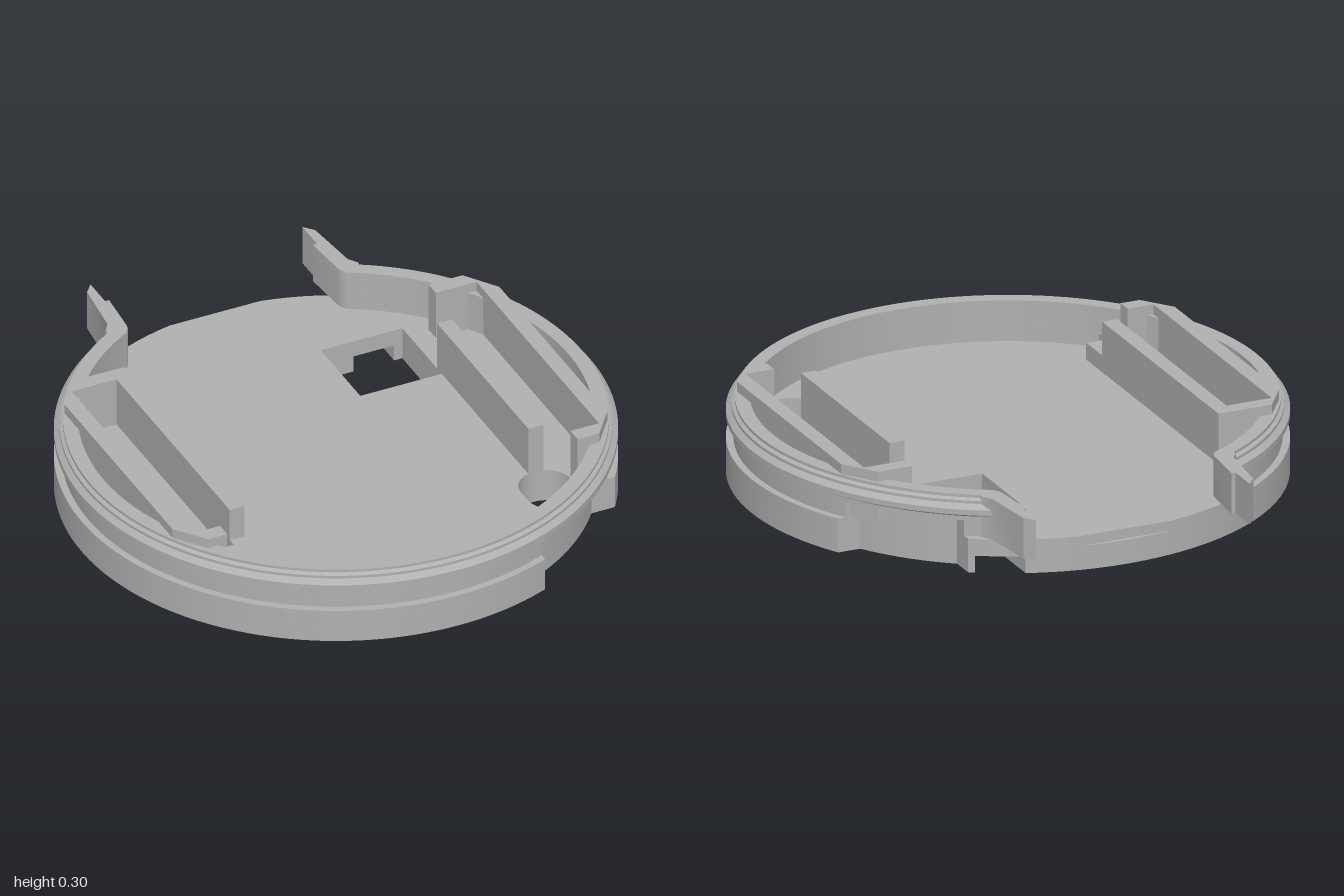
import * as THREE from 'three';
import { toCreasedNormals } from 'three/addons/utils/BufferGeometryUtils.js';

const CZ = 0.06;          // disc centre in z
const RIM = 0.935, WALL = 0.91, INNER = 0.855, NOTCH = 0.865;
const rad = THREE.MathUtils.degToRad;
const { acos, asin, PI } = Math;

// points along an arc about the disc centre, as [x, z]
function arc(r, a0, a1) {
  const n = Math.max(2, Math.ceil(Math.abs(a1 - a0) / 0.05));
  return Array.from({ length: n + 1 }, (_, i) => {
    const a = a0 + (a1 - a0) * i / n;
    return [r * Math.cos(a), CZ + r * Math.sin(a)];
  });
}

// right-hand edge with the two clip notches, from the back notch round to the front one
function notchedSide(r) {
  return [
    ...arc(NOTCH, -acos(0.51 / NOTCH), -asin(0.44 / NOTCH)),
    ...arc(r, -asin(0.44 / r), asin(0.53 / r)),
    ...arc(NOTCH, asin(0.53 / NOTCH), acos(0.35 / NOTCH)),
  ];
}

const toVectors = (pts, s = 1) => pts.map(([x, z]) => new THREE.Vector2(s * x, z));
const rect = (x0, z0, x1, z1) => [[x0, z0], [x1, z0], [x1, z1], [x0, z1]];

export function createModel() {
  const group = new THREE.Group();
  const grey = new THREE.MeshStandardMaterial({ color: 0xb0b0b0, side: THREE.DoubleSide });
  grey.name = 'grey plastic';

  function add(name, geometry) {
    const mesh = new THREE.Mesh(geometry, grey);
    mesh.name = name;
    group.add(mesh);
    return mesh;
  }
  // plan outline raised from y0 to y1; s = -1 mirrors it in x
  function slab(name, pts, y0, y1, { s = 1, holes = [] } = {}) {
    const shape = new THREE.Shape(toVectors(pts, s));
    holes.forEach(h => shape.holes.push(new THREE.Path(toVectors(h))));
    const g = new THREE.ExtrudeGeometry(shape, { depth: y1 - y0, bevelEnabled: false });
    g.rotateX(PI / 2).translate(0, y1, 0);
    return add(name, toCreasedNormals(g, 0.5));
  }

  // holes through the floor
  const squareHole = rect(0.22, -0.51, 0.52, -0.21);
  const ovalHole = Array.from({ length: 40 }, (_, i) => {
    const a = i / 40 * 2 * PI;
    return [0.5425 + 0.0925 * Math.cos(a), 0.5625 + 0.025 * Math.sign(Math.sin(a)) + 0.0925 * Math.sin(a)];
  });

  // base disc: grooved underside, plain middle, top with a straight step at the back
  const start = acos(0.35 / RIM), end = 2 * PI - acos(0.51 / RIM);
  const side = notchedSide(RIM);
  slab('baseUnderside', [
    ...arc(RIM, start, 2 * PI - acos(0.34 / RIM)),
    [0.34, -0.51], [0.22, -0.51], [0.22, -0.21], [0.52, -0.21], [0.52, -0.51], [0.49, -0.51],
    ...arc(RIM, 2 * PI - acos(0.49 / RIM), end), ...side,
  ], 0, 0.06, { holes: [ovalHole] });
  slab('baseMiddle', [...arc(RIM, start, end), ...side], 0.06, 0.085, { holes: [squareHole, ovalHole] });
  const step = asin(0.92 / RIM);
  slab('baseFloor', [...arc(RIM, start, PI + step), ...arc(RIM, 2 * PI - step, end), ...side],
    0.085, 0.12, { holes: [squareHole, ovalHole] });

  // ring wall, open at the back; its lower band carries the notches
  const gap = rad(28);
  const a0 = -PI / 2 + gap, a1 = 1.5 * PI - gap;
  slab('wallLower', [
    ...arc(WALL, a0, -acos(0.51 / WALL)), ...notchedSide(WALL),
    ...arc(WALL, acos(0.35 / WALL), a1), ...arc(INNER, a1, a0),
  ], 0.12, 0.175);

  // upper wall with the snap ridge
  const profile = [
    [INNER, 0.175], [WALL, 0.175], [WALL, 0.19], [RIM, 0.203], [RIM, 0.222], [0.917, 0.238],
    [0.917, 0.248], [0.905, 0.255], [0.905, 0.265], [INNER, 0.265], [INNER, 0.175],
  ];
  const lathe = new THREE.LatheGeometry(toVectors(profile), 120, -PI + gap, 2 * (PI - gap));
  add('wallRidge', toCreasedNormals(lathe, 0.3)).position.z = CZ;
  for (const a of [a0, a1]) {
    const cap = new THREE.ShapeGeometry(new THREE.Shape(toVectors(profile.slice(0, -1))));
    add('wallEnd', cap.rotateY(-a)).position.z = CZ;
  }

  // spring arms at the back
  const arm = [
    [0.39, -1], [0.39, -0.89], [0.375, -0.89], [0.388, -0.73], [0.393, -0.71], [0.408, -0.692],
    [0.45, -0.675], [0.465, -0.73], [0.442, -0.765], [0.42, -0.965],
  ];
  slab('leftArm', arm, 0.12, 0.265);
  slab('rightArm', arm, 0.12, 0.265, { s: -1 });

  // long tray on the model's right
  const m = { s: -1 };
  slab('rightTray', [
    [0.525, -0.465], [0.72, -0.465], [0.8, -0.35], [0.8, 0.47], [0.72, 0.575], [0.65, 0.575],
    [0.65, 0.52], [0.745, 0.52], [0.745, -0.41], [0.58, -0.41], [0.58, 0.45], [0.525, 0.45],
  ], 0.12, 0.3, m);
  slab('rightTraySill', rect(0.525, 0.45, 0.58, 0.575), 0.12, 0.18, m);
  slab('rightTrayStep', rect(0.58, 0.52, 0.65, 0.575), 0.12, 0.21, m);
  slab('rightTab', rect(0.61, 0.575, 0.65, 0.66), 0.12, 0.17, m);

  // tray on the model's left, with a separate inner wall
  slab('leftTray', [
    [0.595, -0.465], [0.72, -0.465], [0.8, -0.35], [0.8, 0.47], [0.72, 0.575], [0.64, 0.575],
    [0.64, 0.52], [0.745, 0.52], [0.745, -0.41], [0.595, -0.41],
  ], 0.12, 0.3);
  slab('leftTrayInnerWall', rect(0.52, -0.245, 0.575, 0.45), 0.12, 0.3);
  slab('leftTab', rect(0.625, 0.575, 0.645, 0.655), 0.12, 0.17);

  return group;
}
